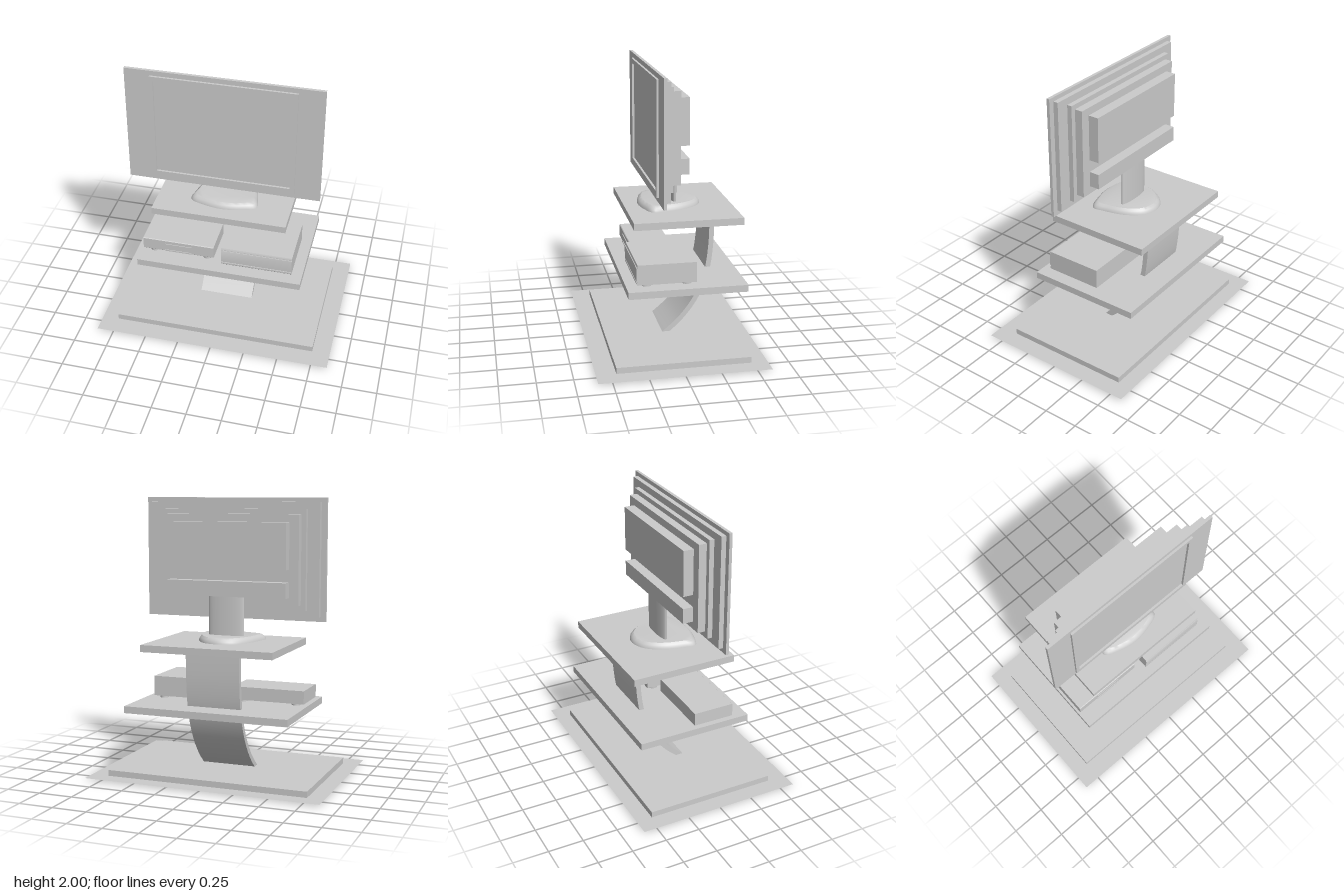
import * as THREE from 'three';
import { toCreasedNormals } from 'three/addons/utils/BufferGeometryUtils.js';

const grey = new THREE.MeshStandardMaterial({ color: 0xcccccc });
const greySheet = new THREE.MeshStandardMaterial({ color: 0xcccccc, side: THREE.DoubleSide });

export function createModel() {
  const model = new THREE.Group();

  const add = (name, geometry, parent = model, material = grey) => {
    const mesh = new THREE.Mesh(geometry, material);
    mesh.name = name;
    parent.add(mesh);
    return mesh;
  };
  const group = (name) => {
    const g = new THREE.Group();
    g.name = name;
    model.add(g);
    return g;
  };
  // box from its limits on each axis
  const box = (name, [x0, x1], [y0, y1], [z0, z1], parent) =>
    add(name, new THREE.BoxGeometry(x1 - x0, y1 - y0, z1 - z0)
      .translate((x0 + x1) / 2, (y0 + y1) / 2, (z0 + z1) / 2), parent);
  // side profile given as [z, y] points, extruded from x0 to x1
  const sideProfile = (name, points, [x0, x1], parent) => {
    const shape = new THREE.Shape(points.map(([z, y]) => new THREE.Vector2(z, y)));
    const g = new THREE.ExtrudeGeometry(shape, { depth: x1 - x0, bevelEnabled: false })
      .rotateY(-Math.PI / 2).translate(x1, 0, 0);
    return add(name, toCreasedNormals(g, 0.5), parent);
  };

  // floor sheet, base and shelves
  add('floorSheet', new THREE.PlaneGeometry(1.74, 1.2).rotateX(-Math.PI / 2).translate(0, 0.012, 0), model, greySheet);
  box('base', [-0.75, 0.74], [0, 0.055], [-0.485, 0.46]);
  box('middleShelf', [-0.61, 0.605], [0.485, 0.535], [-0.49, 0.35]);
  box('topShelf', [-0.5, 0.475], [0.93, 0.98], [-0.485, 0.287]);

  // curved column: a centre line thickened to both sides
  const line = new THREE.SplineCurve([
    [0.03, 0.04], [-0.093, 0.15], [-0.205, 0.3], [-0.285, 0.49], [-0.317, 0.7], [-0.325, 0.94],
  ].map(([z, y]) => new THREE.Vector2(z, y)));
  const front = [], back = [];
  for (let i = 0; i <= 24; i++) {
    const p = line.getPoint(i / 24), t = line.getTangent(i / 24);
    front.push([p.x + t.y * 0.018, p.y - t.x * 0.018]);
    back.unshift([p.x - t.y * 0.018, p.y + t.x * 0.018]);
  }
  sideProfile('column', [...front, ...back], [-0.21, 0.19]);

  // media devices on the middle shelf
  const addFeet = (parent, xs, zs) => {
    for (const x of xs) for (const z of zs)
      add('deviceFoot', new THREE.CylinderGeometry(0.032, 0.032, 0.03, 20).translate(x, 0.545, z), parent);
  };
  const player = group('lowDevice');
  sideProfile('lowDeviceBody', [
    [-0.07, 0.555], [0.225, 0.555], [0.23, 0.56], [0.23, 0.645], [0.225, 0.65], [-0.07, 0.65],
  ], [-0.595, -0.06], player);
  box('discTray', [-0.43, -0.225], [0.61, 0.622], [0.22, 0.235], player);
  box('lowerTrim', [-0.43, -0.225], [0.56, 0.57], [0.22, 0.235], player);
  addFeet(player, [-0.518, -0.115], [0.0, 0.19]);

  const receiver = group('tallDevice');
  sideProfile('tallDeviceBody', [
    [-0.14, 0.555], [0.275, 0.555], [0.283, 0.563], [0.283, 0.575], [0.276, 0.575], [0.276, 0.583],
    [0.283, 0.583], [0.283, 0.68], [0.277, 0.68], [0.277, 0.686], [0.28, 0.686], [0.274, 0.7], [-0.14, 0.7],
  ], [0.01, 0.53], receiver);
  addFeet(receiver, [0.05, 0.475], [-0.08, 0.205]);

  // monitor foot: rounded outline narrowing towards the top
  const half = [[0, -0.27], [0.09, -0.245], [0.15, -0.19], [0.2, -0.1], [0.23, 0.02], [0.24, 0.115], [0.14, 0.16], [0, 0.183]];
  const outline = [...half, ...half.slice(1, -1).reverse().map(([x, z]) => [-x, z])];
  const curve = new THREE.CatmullRomCurve3(outline.map(([x, z]) => new THREE.Vector3(x, -z, 0)), true);
  const footShape = new THREE.Shape(curve.getPoints(56).slice(0, -1).map((p) => new THREE.Vector2(p.x, p.y)));
  const foot = new THREE.ExtrudeGeometry(footShape, { depth: 0.04, steps: 3, bevelEnabled: false }).rotateX(-Math.PI / 2);
  const pos = foot.attributes.position;
  for (let i = 0; i < pos.count; i++) {
    const s = 1 - 0.13 * (pos.getY(i) / 0.04) ** 2;
    pos.setX(i, pos.getX(i) * s);
    pos.setZ(i, -0.045 + (pos.getZ(i) + 0.045) * s);
  }
  foot.translate(-0.01, 0.98, 0).computeVertexNormals();
  const monitor = group('monitor');
  add('monitorFoot', toCreasedNormals(foot, 0.7), monitor);

  // oval neck
  add('monitorNeck', new THREE.CylinderGeometry(1, 1, 0.3, 40)
    .scale(0.135, 1, 0.026).translate(-0.01, 1.16, -0.065), monitor);

  // panel and stepped back, each layer smaller than the one before
  box('panel', [-0.7, 0.68], [1.125, 2], [0.1, 0.122], monitor);
  box('backLayer', [-0.66, 0.64], [1.16, 1.97], [0.065, 0.1], monitor);
  box('backLayer', [-0.57, 0.545], [1.205, 1.92], [0.03, 0.065], monitor);
  box('backLayer', [-0.535, 0.51], [1.245, 1.885], [-0.027, 0.03], monitor);
  box('upperBackHousing', [-0.465, 0.44], [1.5, 1.83], [-0.102, -0.027], monitor);
  box('lowerBackHousing', [-0.465, 0.44], [1.3, 1.41], [-0.102, -0.027], monitor);

  // raised frame around the screen
  const rect = (Type, x0, x1, y0, y1) => new Type([[x0, y0], [x1, y0], [x1, y1], [x0, y1]]
    .map(([x, y]) => new THREE.Vector2(x, y)));
  const frame = rect(THREE.Shape, -0.52, 0.5, 1.162, 1.965);
  frame.holes.push(rect(THREE.Path, -0.495, 0.468, 1.205, 1.93));
  add('screenFrame', new THREE.ExtrudeGeometry(frame, { depth: 0.018, bevelEnabled: false }).translate(0, 0, 0.12), monitor);

  return model;
}
